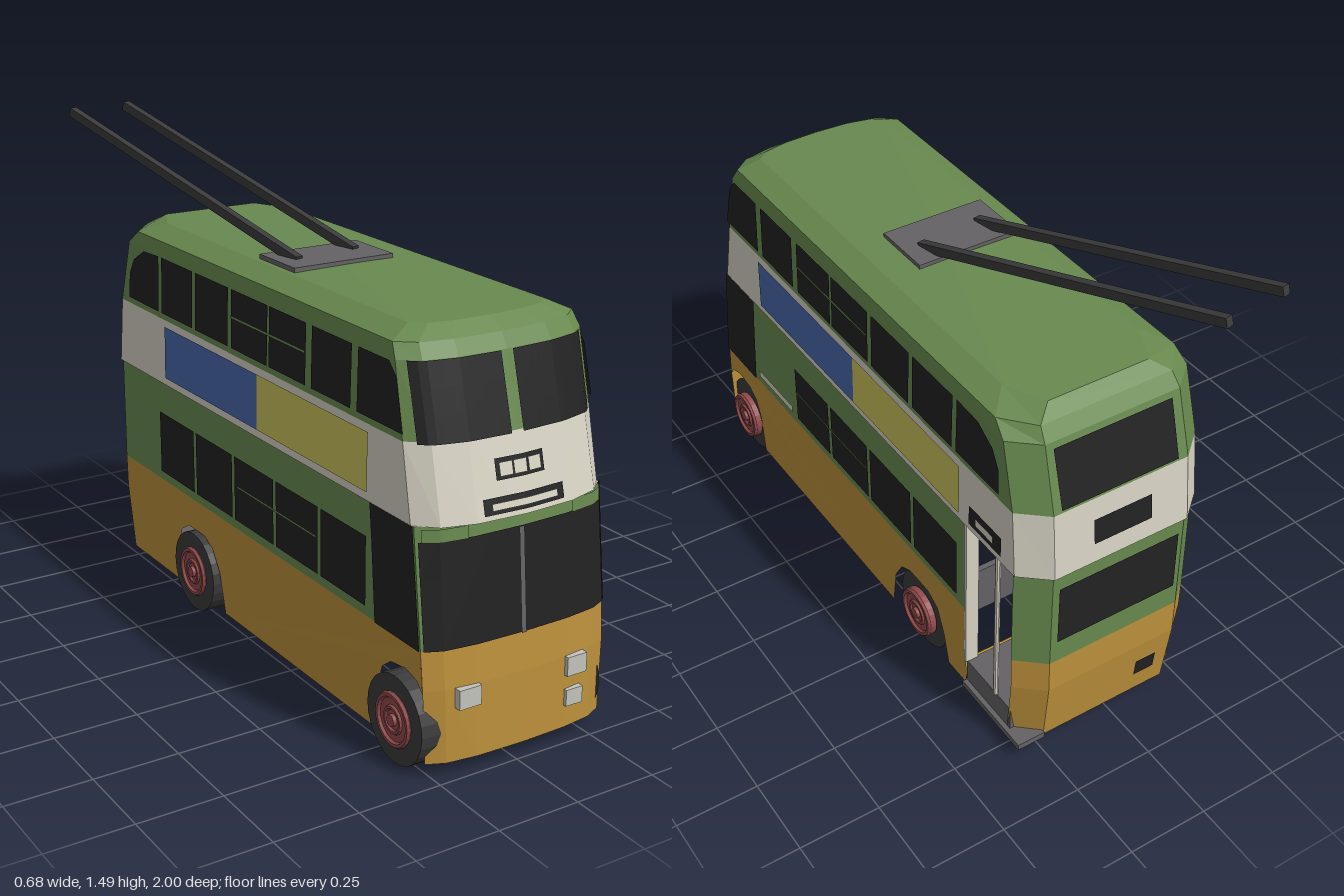
import * as THREE from 'three';

const mat = (name, color) => {
  const m = new THREE.MeshStandardMaterial({ color, side: THREE.DoubleSide, flatShading: true });
  m.name = name;
  return m;
};

const CX = 0.025; // body centre line
// Body levels: y, half width, front z, front corner drop, rear z, rear corner drop
const LOWER = [
  [0.04, 0.29, 0.99, 0.04, -0.81, 0.07], [0.25, 0.298, 0.985, 0.04, -0.835, 0.07],
  [0.36, 0.3, 0.975, 0.04, -0.835, 0.07], [0.69, 0.3, 0.945, 0.05, -0.835, 0.07],
];
const UPPER = [
  [0.69, 0.303, 0.975, 0.09, -0.845, 0.07], [0.9, 0.3, 0.92, 0.08, -0.825, 0.07],
  [1.1, 0.295, 0.865, 0.07, -0.77, 0.07], [1.14, 0.287, 0.84, 0.07, -0.74, 0.09],
  [1.172, 0.22, 0.79, 0.05, -0.7, 0.12],
];
const FRONT_U = [[0, 0], [0.5, 0.1], [0.82, 0.4], [1, 1]];
const REAR_U = [[0, 0], [0.73, 0], [1, 1]];

// Piecewise linear lookup of a row by its first entry
function lookup(table, v) {
  let i = 0;
  while (i < table.length - 2 && v > table[i + 1][0]) i++;
  const a = table[i], b = table[i + 1];
  const t = Math.min(1, Math.max(0, (v - a[0]) / (b[0] - a[0])));
  return a.map((n, k) => n + (b[k] - n) * t);
}
const level = (y) => lookup(y <= 0.69 ? LOWER : UPPER, y);
const endZ = (L, u, end) => (end > 0
  ? L[2] - L[3] * lookup(FRONT_U, Math.abs(u))[1]
  : L[4] + L[5] * lookup(REAR_U, Math.abs(u))[1]);

// Point rows across the front (end = 1) or rear (end = -1) at one level
const endRow = (L, end) => (end > 0 ? [-1, -0.82, -0.5, 0, 0.5, 0.82, 1] : [1, 0.73, -0.73, -1])
  .map((u) => [CX + u * L[1], L[0], endZ(L, u, end)]);
const ring = (L) => {
  const r = [...endRow(L, 1), ...endRow(L, -1)];
  return [...r, r[0]];
};

function finish(geo) {
  const g = geo.index ? geo.toNonIndexed() : geo;
  g.computeVertexNormals();
  return g;
}

// Surface through rows of points
function loft(rows) {
  const n = rows[0].length, index = [];
  for (let j = 0; j < rows.length - 1; j++) {
    for (let i = 0; i < n - 1; i++) {
      const a = j * n + i, b = a + n;
      index.push(a, a + 1, b, a + 1, b + 1, b);
    }
  }
  const g = new THREE.BufferGeometry();
  g.setAttribute('position', new THREE.Float32BufferAttribute(rows.flat(2), 3));
  g.setIndex(index);
  return finish(g);
}

// Flat outline of [z, y] points laid on a body side (s = 1 left, -1 right)
function sideSheet(points, s, off) {
  const g = new THREE.ShapeGeometry(new THREE.Shape(points.map(([z, y]) => new THREE.Vector2(-z, y))));
  const p = g.attributes.position;
  for (let i = 0; i < p.count; i++) {
    const z = -p.getX(i), y = p.getY(i);
    p.setXYZ(i, CX + s * (level(y)[1] + off), y, z);
  }
  if (s < 0) g.index.array.reverse();
  return finish(g);
}

// Rectangle bent over the front or rear of the body
function endSheet(x0, x1, y0, y1, end, off) {
  const g = new THREE.PlaneGeometry(x1 - x0, y1 - y0, 12, 3);
  const p = g.attributes.position;
  for (let i = 0; i < p.count; i++) {
    const x = p.getX(i) + (x0 + x1) / 2, y = p.getY(i) + (y0 + y1) / 2, L = level(y);
    p.setXYZ(i, x, y, endZ(L, (x - CX) / L[1], end) + end * off);
  }
  if (end < 0) g.index.array.reverse();
  return finish(g);
}

const rect = (z0, z1, y0, y1) => [[z0, y0], [z1, y0], [z1, y1], [z0, y1]];

export function createModel() {
  const green = mat('green paint', 0x68894f), orange = mat('orange paint', 0xbc903b);
  const cream = mat('cream paint', 0xd6d2c3), black = mat('dark glass', 0x222222);
  const blue = mat('blue panel', 0x4a68ab), yellow = mat('yellow panel', 0xcbc45c);
  const red = mat('red hub', 0x914a4b), grey = mat('grey metal', 0x646264);
  const dark = mat('dark rubber', 0x3b3b3b), lamp = mat('pale lamp', 0xc4c4bd);

  const bus = new THREE.Group();
  bus.name = 'doubleDeckBus';
  const add = (name, geo, m, x = 0, y = 0, z = 0) => {
    const mesh = new THREE.Mesh(geo, m);
    mesh.name = name;
    mesh.position.set(x, y, z);
    bus.add(mesh);
    return mesh;
  };
  const box = (name, m, x0, x1, y0, y1, z0, z1) => add(name,
    new THREE.BoxGeometry(x1 - x0, y1 - y0, z1 - z0), m, (x0 + x1) / 2, (y0 + y1) / 2, (z0 + z1) / 2);
  const onSide = (name, m, pts, s, off = 0.004) => add(name, sideSheet(pts, s, off), m);
  const onEnd = (name, m, x0, x1, y0, y1, end = 1, off = 0.005) => add(name, endSheet(x0, x1, y0, y1, end, off), m);

  // Upper deck, overhanging ledge and roof
  add('overhangLedge', loft([ring(LOWER[3]), ring(UPPER[0])]), cream);
  add('creamBand', loft([ring(UPPER[0]), ring(UPPER[1])]), cream);
  const roofRows = UPPER.slice(1).map(ring);
  roofRows.push(roofRows[3].map(() => [CX, 1.175, 0.04]));
  add('upperDeckAndRoof', loft(roofRows), green);

  // Lower front and rear
  for (const end of [1, -1]) {
    add('lowerEndSkirt', loft(LOWER.slice(0, 3).map((L) => endRow(L, end))), orange);
    add('lowerEndPanel', loft(LOWER.slice(2).map((L) => endRow(L, end))), green);
  }

  // Lower sides with wheel arches; the left side stops at the open entrance
  for (const s of [1, -1]) {
    const skirt = [
      [0.935, 0.36], [0.945, 0.24], [0.92, 0.27], [0.87, 0.285], [0.8, 0.275], [0.76, 0.245], [0.738, 0.18], [0.735, 0.04],
      [-0.115, 0.04], [-0.14, 0.17], [-0.18, 0.235], [-0.23, 0.26], [-0.33, 0.26], [-0.38, 0.23], [-0.41, 0.15], [-0.43, 0.04],
    ];
    const back = s > 0 ? -0.53 : -0.765;
    skirt.push([s > 0 ? -0.53 : -0.74, 0.04], [back, 0.25], [back, 0.36]);
    onSide('sideSkirt', orange, skirt, s, 0);
    onSide('sidePanel', green, [[0.935, 0.36], [back, 0.36], [back, 0.69], [0.895, 0.69]], s, 0);
    onSide('cabSideWindow', black, [[0.935, 0.36], [0.73, 0.36], [0.71, 0.6], [0.7, 0.69], [0.895, 0.69]], s);

    // Upper deck windows, the end ones following the slanting body
    onSide('upperSideWindow', black, [[0.845, 0.92], [0.635, 0.92], [0.635, 1.095], [0.775, 1.095], [0.81, 1.06]], s);
    for (const [z1, z0] of [[0.605, 0.41], [0.38, 0.185], [0.175, -0.03], [-0.05, -0.25], [-0.27, -0.47]]) {
      onSide('upperSideWindow', black, rect(z0, z1, 0.92, 1.095), s);
    }
    onSide('upperSideWindow', black, [[-0.49, 0.92], [-0.695, 0.92], [-0.69, 1.0], [-0.66, 1.05], [-0.59, 1.09], [-0.49, 1.095]], s);
    onSide('upperWindowBar', green, rect(-0.03, 0.38, 1.01, 1.018), s, 0.007);

    // Lower deck windows
    const panes = s > 0 ? [[0.23, 0.44], [-0.005, 0.215], [-0.25, -0.02], [-0.495, -0.265]]
      : [0, 1, 2, 3, 4].map((i) => [-0.5 + i * 0.24, -0.275 + i * 0.24]);
    for (const [z0, z1] of panes) onSide('lowerSideWindow', black, rect(z0, z1, 0.39, 0.59), s);
    onSide('lowerWindowBar', green, rect(0, 0.44, 0.497, 0.504), s, 0.007);

    // Coloured panels on the cream band
    const [zb, zm, zy] = s > 0 ? [0.64, 0.06, -0.51] : [-0.45, 0.12, 0.69];
    onSide('bluePanel', blue, rect(Math.min(zb, zm), Math.max(zb, zm), 0.715, 0.88), s);
    onSide('yellowPanel', yellow, rect(Math.min(zy, zm), Math.max(zy, zm), 0.715, 0.88), s);
  }
  onSide('sideStrip', cream, rect(0.475, 0.7, 0.39, 0.415), 1);
  onSide('sideDisplay', black, rect(-0.715, -0.56, 0.715, 0.78), 1);
  onSide('sideDisplayCentre', cream, rect(-0.68, -0.595, 0.735, 0.76), 1, 0.007);

  // Front windows, displays and lamps
  onEnd('upperWindscreen', black, -0.25, 0.003, 0.895, 1.1);
  onEnd('upperWindscreen', black, 0.04, 0.295, 0.895, 1.1);
  onEnd('lowerWindscreen', black, -0.27, 0.32, 0.36, 0.65);
  onEnd('windscreenDivider', grey, 0.012, 0.028, 0.36, 0.65, 1, 0.01);
  for (const x of [-0.265, 0.19]) onEnd('frontVent', green, x, x + 0.12, 0.65, 0.685, 1, 0.012);
  onEnd('routeDisplay', black, -0.06, 0.092, 0.787, 0.842);
  for (const x of [-0.05, -0.006, 0.04]) onEnd('routeCell', cream, x, x + 0.04, 0.797, 0.832, 1, 0.009);
  onEnd('destinationDisplay', black, -0.108, 0.147, 0.705, 0.747);
  onEnd('destinationCentre', cream, -0.085, 0.124, 0.716, 0.734, 1, 0.009);
  for (const [x, y, w, h] of [[-0.155, 0.223, 0.07, 0.056], [0.198, 0.223, 0.065, 0.056], [0.193, 0.13, 0.055, 0.048]]) {
    add('frontLamp', new THREE.BoxGeometry(w, h, 0.035), lamp, x, y, 0.977);
  }

  // Rear windows, display and plate
  onEnd('upperRearWindow', black, -0.16, 0.22, 0.91, 1.085, -1);
  onEnd('rearDisplay', black, -0.07, 0.12, 0.755, 0.835, -1);
  onEnd('lowerRearWindow', black, -0.175, 0.225, 0.44, 0.64, -1);
  onEnd('rearPlate', black, -0.14, -0.07, 0.12, 0.18, -1);

  // Open entrance: floor, step, pole and post
  box('entranceFloor', grey, -0.255, 0.315, 0.05, 0.14, -0.755, -0.53);
  box('entranceStep', grey, 0.24, 0.33, 0.04, 0.06, -0.82, -0.53);
  box('rearUnderside', orange, -0.25, 0.3, 0.038, 0.046, -0.76, -0.45);
  add('entrancePole', new THREE.CylinderGeometry(0.008, 0.008, 0.55, 8), cream, 0.315, 0.415, -0.68);
  box('entrancePost', cream, 0.28, 0.322, 0.14, 0.69, -0.535, -0.525);

  // Axle plates and wheels
  for (const z of [0.84, -0.275]) {
    box('axlePlate', grey, -0.21, 0.3, 0.025, 0.19, z - 0.01, z + 0.01);
    for (const s of [1, -1]) {
      const wheel = new THREE.Group();
      wheel.name = 'wheel';
      const part = (name, geo, m, x) => {
        const mesh = new THREE.Mesh(geo, m);
        mesh.name = name;
        mesh.position.x = x;
        mesh.rotation.y = Math.PI / 2;
        wheel.add(mesh);
      };
      const disc = (r, d) => new THREE.CylinderGeometry(r, r, d, 24).rotateX(Math.PI / 2);
      if (s > 0) part('tyre', new THREE.RingGeometry(0.06, 0.127, 24), dark, -0.02);
      else part('tyre', disc(0.127, 0.075), dark, -0.035);
      part('hub', disc(0.078, 0.02), red, -0.005);
      part('hubRing', new THREE.TorusGeometry(0.07, 0.009, 6, 24), red, 0.005);
      part('hubRing', new THREE.TorusGeometry(0.035, 0.007, 6, 16), red, 0.005);
      part('hubCap', disc(0.017, 0.02), red, 0.006);
      wheel.position.set(s > 0 ? 0.323 : -0.215 - 0.07, 0.127, z);
      if (s < 0) wheel.scale.x = -1;
      bus.add(wheel);
    }
  }

  // Roof base and current collector poles
  box('poleBase', grey, -0.18, 0.15, 1.165, 1.186, -0.03, 0.165);
  for (const [a, b] of [[[-0.115, 1.18, 0.08], [-0.325, 1.478, -0.97]], [[0.088, 1.18, 0.06], [-0.125, 1.478, -0.995]]]) {
    const from = new THREE.Vector3(...a), to = new THREE.Vector3(...b);
    const pole = add('collectorPole', new THREE.BoxGeometry(0.024, 0.028, from.distanceTo(to)), dark);
    pole.position.copy(from).lerp(to, 0.5);
    pole.lookAt(to);
  }
  return bus;
}
